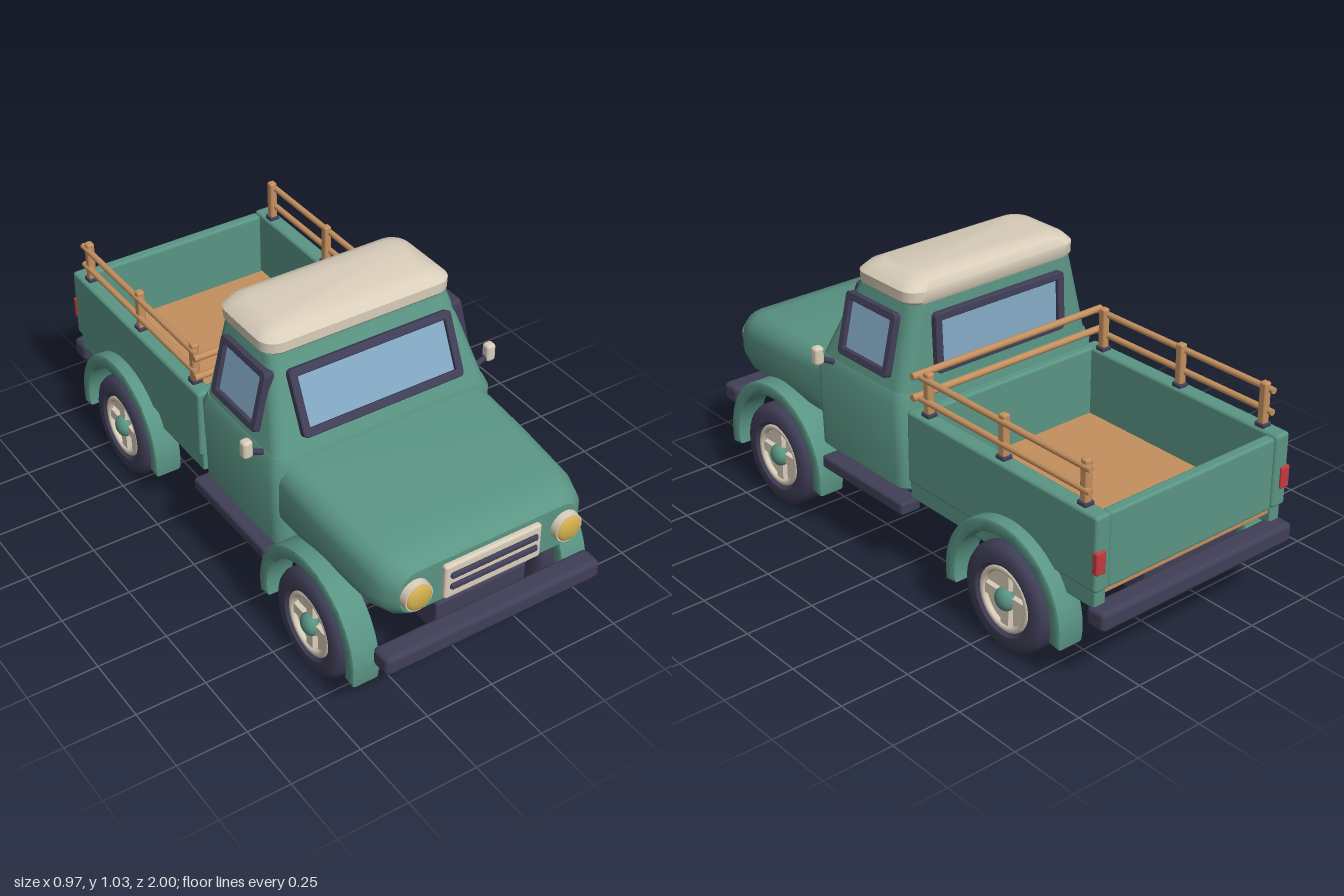
import * as THREE from 'three';
import { toCreasedNormals } from 'three/addons/utils/BufferGeometryUtils.js';
import { RoundedBoxGeometry } from 'three/addons/geometries/RoundedBoxGeometry.js';

const mat = (name, color) => {
  const m = new THREE.MeshStandardMaterial({ color });
  m.name = name;
  return m;
};

export function createModel() {
  const green = mat('green paint', 0x5a9584), dark = mat('dark trim', 0x413f58);
  const cream = mat('cream', 0xdacebb), glass = mat('glass', 0x84a9c5);
  const wood = mat('wood', 0xc4905f), gold = mat('lamp gold', 0xd2af4e);
  const red = mat('tail light red', 0xc23b3f);
  const truck = new THREE.Group();
  truck.name = 'pickupTruck';

  const add = (name, geo, material, x = 0, y = 0, z = 0, parent = truck) => {
    const m = new THREE.Mesh(geo, material);
    m.name = name;
    m.position.set(x, y, z);
    parent.add(m);
    return m;
  };
  // Rounded box given by its extents
  const box = (name, material, [x0, x1], [y0, y1], [z0, z1], r = 0.01) =>
    add(name, new RoundedBoxGeometry(x1 - x0, y1 - y0, z1 - z0, 2, r), material,
      (x0 + x1) / 2, (y0 + y1) / 2, (z0 + z1) / 2);
  // Round bar between two points
  const bar = (name, material, a, b, r) => {
    const p = new THREE.Vector3(...a), q = new THREE.Vector3(...b);
    const m = add(name, new THREE.CylinderGeometry(r, r, p.distanceTo(q), 12), material);
    m.position.copy(p).add(q).multiplyScalar(0.5);
    m.quaternion.setFromUnitVectors(new THREE.Vector3(0, 1, 0), q.sub(p).normalize());
    return m;
  };
  // Loft of rounded rectangles along z: [level, half width, low, high, corner radius]
  const loft = (sections, crease = 0.6) => {
    const pos = [], idx = [], steps = 5, n = 4 * (steps + 1);
    for (const [z, w, v0, v1, r] of sections) {
      for (let c = 0; c < 4; c++) {
        const cx = (c === 0 || c === 3 ? 1 : -1) * (w - r), cy = c < 2 ? v1 - r : v0 + r;
        for (let s = 0; s <= steps; s++) {
          const t = (c + s / steps) * Math.PI / 2;
          pos.push(cx + r * Math.cos(t), cy + r * Math.sin(t), z);
        }
      }
    }
    for (let i = 0; i < sections.length - 1; i++) {
      for (let j = 0; j < n; j++) {
        const a = i * n + j, b = i * n + (j + 1) % n;
        idx.push(a, b, b + n, a, b + n, a + n);
      }
    }
    const last = (sections.length - 1) * n;
    for (let j = 1; j < n - 1; j++) idx.push(0, j + 1, j, last, last + j, last + j + 1);
    const g = new THREE.BufferGeometry();
    g.setAttribute('position', new THREE.Float32BufferAttribute(pos, 3));
    g.setIndex(idx);
    return toCreasedNormals(g, crease);
  };
  // Loft upwards: [y, half width, back z, front z, corner radius]
  const loftUp = (s) =>
    loft(s.map(([y, w, b, f, r]) => [y, w, -f, -b, r])).rotateX(-Math.PI / 2);

  // Cab, roof and hood
  add('cabLower', loftUp([[0.31, 0.39, -0.05, 0.39, 0.04], [0.33, 0.41, -0.07, 0.41, 0.05],
    [0.63, 0.42, -0.07, 0.41, 0.05], [0.665, 0.405, -0.06, 0.4, 0.05]]), green);
  add('cabUpper', loftUp([[0.65, 0.407, -0.055, 0.402, 0.05], [0.95, 0.34, -0.04, 0.265, 0.05]]), green);
  add('roof', loftUp([[0.943, 0.335, -0.035, 0.245, 0.05], [0.96, 0.352, -0.045, 0.26, 0.06],
    [0.995, 0.354, -0.045, 0.26, 0.06], [1.02, 0.33, -0.03, 0.24, 0.06],
    [1.032, 0.29, 0, 0.21, 0.05]]), cream);
  add('hood', loft([[0.38, 0.402, 0.4, 0.652, 0.07], [0.6, 0.4, 0.395, 0.64, 0.08],
    [0.85, 0.385, 0.39, 0.62, 0.08], [0.92, 0.365, 0.4, 0.602, 0.08],
    [0.95, 0.335, 0.42, 0.575, 0.06]]), green);

  // Windows: a raised frame around a pane
  const panel = (w, h, r) => {
    const s = new THREE.Shape();
    s.moveTo(-w + r, -h).lineTo(w - r, -h).quadraticCurveTo(w, -h, w, -h + r)
      .lineTo(w, h - r).quadraticCurveTo(w, h, w - r, h)
      .lineTo(-w + r, h).quadraticCurveTo(-w, h, -w, h - r)
      .lineTo(-w, -h + r).quadraticCurveTo(-w, -h, -w + r, -h);
    return s;
  };
  const addWindow = (name, w, h, [x, y, z], turn, tilt) => {
    const g = new THREE.Group();
    g.name = name;
    g.position.set(x, y, z);
    g.rotation.set(-tilt, turn, 0, 'YXZ');
    const s = panel(w, h, 0.015);
    s.holes.push(panel(w - 0.021, h - 0.021, 0.008));
    add(name + 'Frame', new THREE.ExtrudeGeometry(s,
      { depth: 0.03, bevelEnabled: true, bevelSize: 0.003, bevelThickness: 0.003, bevelSegments: 1 }),
    dark, 0, 0, -0.01, g);
    add(name + 'Pane', new THREE.BoxGeometry(2 * w - 0.03, 2 * h - 0.03, 0.008), glass, 0, 0, 0.005, g);
    truck.add(g);
  };
  addWindow('windshield', 0.302, 0.109, [0, 0.81, 0.331], 0, 0.428);
  addWindow('rearWindow', 0.27, 0.1, [0, 0.812, -0.047], Math.PI, 0.05);

  // Grille
  box('grille', cream, [-0.182, 0.182], [0.428, 0.557], [0.93, 0.968]);
  for (const y of [0.475, 0.518]) box('grilleBar', dark, [-0.164, 0.164], [y - 0.011, y + 0.011], [0.955, 0.978], 0.008);

  // Frame, bumpers and axles
  box('chassis', dark, [-0.172, 0.172], [0.245, 0.37], [-0.93, 0.92]);
  box('frontBumper', dark, [-0.41, 0.41], [0.252, 0.322], [0.92, 1], 0.018);
  box('rearBumper', dark, [-0.41, 0.41], [0.252, 0.322], [-1, -0.92], 0.018);
  for (const z of [0.62, -0.59]) bar('axle', dark, [-0.35, 0.19, z], [0.35, 0.19, z], 0.023);

  // Cargo bed
  box('bedFloor', wood, [-0.365, 0.365], [0.345, 0.385], [-0.94, -0.09], 0.005);
  box('bedFront', green, [-0.37, 0.37], [0.37, 0.63], [-0.125, -0.085]);
  box('tailgate', green, [-0.35, 0.35], [0.37, 0.625], [-0.955, -0.915]);

  // Wheel profile and fender arch
  const tyre = toCreasedNormals(new THREE.LatheGeometry([[0.112, -0.045], [0.125, -0.057], [0.16, -0.057],
    [0.178, -0.046], [0.186, -0.03], [0.186, 0.03], [0.178, 0.046], [0.16, 0.057], [0.125, 0.057],
    [0.112, 0.045], [0.112, -0.045]].map(([r, h]) => new THREE.Vector2(r, h)), 40), 0.7);
  const arch = new THREE.Shape();
  arch.absarc(0, 0, 0.26, -0.15, Math.PI + 0.15, false);
  arch.absarc(0, 0, 0.232, Math.PI + 0.15, -0.15, true);
  const archGeo = toCreasedNormals(new THREE.ExtrudeGeometry(arch, { depth: 0.08, curveSegments: 28,
    bevelEnabled: true, bevelSize: 0.01, bevelThickness: 0.01, bevelSegments: 2 }), 0.7);

  const addWheel = (s, z) => {
    const w = new THREE.Group();
    w.name = 'wheel';
    w.position.set(s * 0.393, 0.188, z);
    w.rotation.z = -s * Math.PI / 2; // local +y points outwards
    add('tyre', tyre, dark, 0, 0, 0, w);
    add('rimDisc', new THREE.CylinderGeometry(0.113, 0.113, 0.05, 32), cream, 0, 0, 0, w);
    add('rimRing', new THREE.TorusGeometry(0.104, 0.012, 8, 36).rotateX(Math.PI / 2), cream, 0, 0.04, 0, w);
    for (const a of [0, Math.PI / 2]) {
      add('spoke', new THREE.BoxGeometry(0.21, 0.02, 0.036), cream, 0, 0.034, 0, w).rotation.y = a;
    }
    add('hub', new THREE.SphereGeometry(0.04, 20, 12).scale(1, 0.7, 1), green, 0, 0.042, 0, w);
    truck.add(w);
  };

  for (const s of [-1, 1]) {
    const span = (a, b) => (s > 0 ? [a, b] : [-b, -a]);
    addWindow('sideWindow', 0.128, 0.105, [s * 0.371, 0.807, 0.145], s * Math.PI / 2, 0.224);

    // Wheels and fenders
    for (const z of [0.62, -0.59]) {
      addWheel(s, z);
      add('fender', archGeo, green, s > 0 ? 0.365 : -0.445, 0.19, z).rotation.y = Math.PI / 2;
    }
    box('runningBoard', dark, span(0.36, 0.44), [0.252, 0.3], [-0.085, 0.355], 0.012);

    // Headlights
    const ring = add('headlightRing', new THREE.CylinderGeometry(0.05, 0.056, 0.05, 24), cream, s * 0.283, 0.497, 0.95);
    ring.rotation.x = Math.PI / 2;
    add('headlight', new THREE.SphereGeometry(0.046, 24, 12).scale(1, 1, 0.35), gold, s * 0.283, 0.497, 0.973);

    // Mirrors
    bar('mirrorArm', dark, [s * 0.395, 0.65, 0.31], [s * 0.46, 0.684, 0.315], 0.01);
    box('mirror', cream, span(0.449, 0.485), [0.665, 0.73], [0.295, 0.331], 0.012);

    // Bed sides, tail lights
    box('bedSide', green, span(0.35, 0.41), [0.372, 0.63], [-0.96, -0.08], 0.012);
    box('bedSkirt', green, span(0.355, 0.4), [0.31, 0.39], [-0.95, -0.08], 0.008);
    box('tailLight', red, span(0.375, 0.413), [0.438, 0.515], [-0.968, -0.945], 0.006);

    // Side rails with posts
    for (const z of [-0.155, -0.515, -0.875]) {
      box('railPost', wood, span(0.362, 0.39), [0.63, 0.782], [z - 0.015, z + 0.015], 0.008);
      box('postFoot', dark, span(0.357, 0.395), [0.62, 0.643], [z - 0.02, z + 0.02], 0.005);
    }
    for (const y of [0.682, 0.757]) {
      bar('sideRail', wood, [s * 0.385, y, -0.125], [s * 0.385, y, -0.905], 0.011);
    }
  }
  for (const y of [0.682, 0.757]) bar('frontRail', wood, [-0.405, y, -0.107], [0.405, y, -0.107], 0.012);

  return truck;
}
